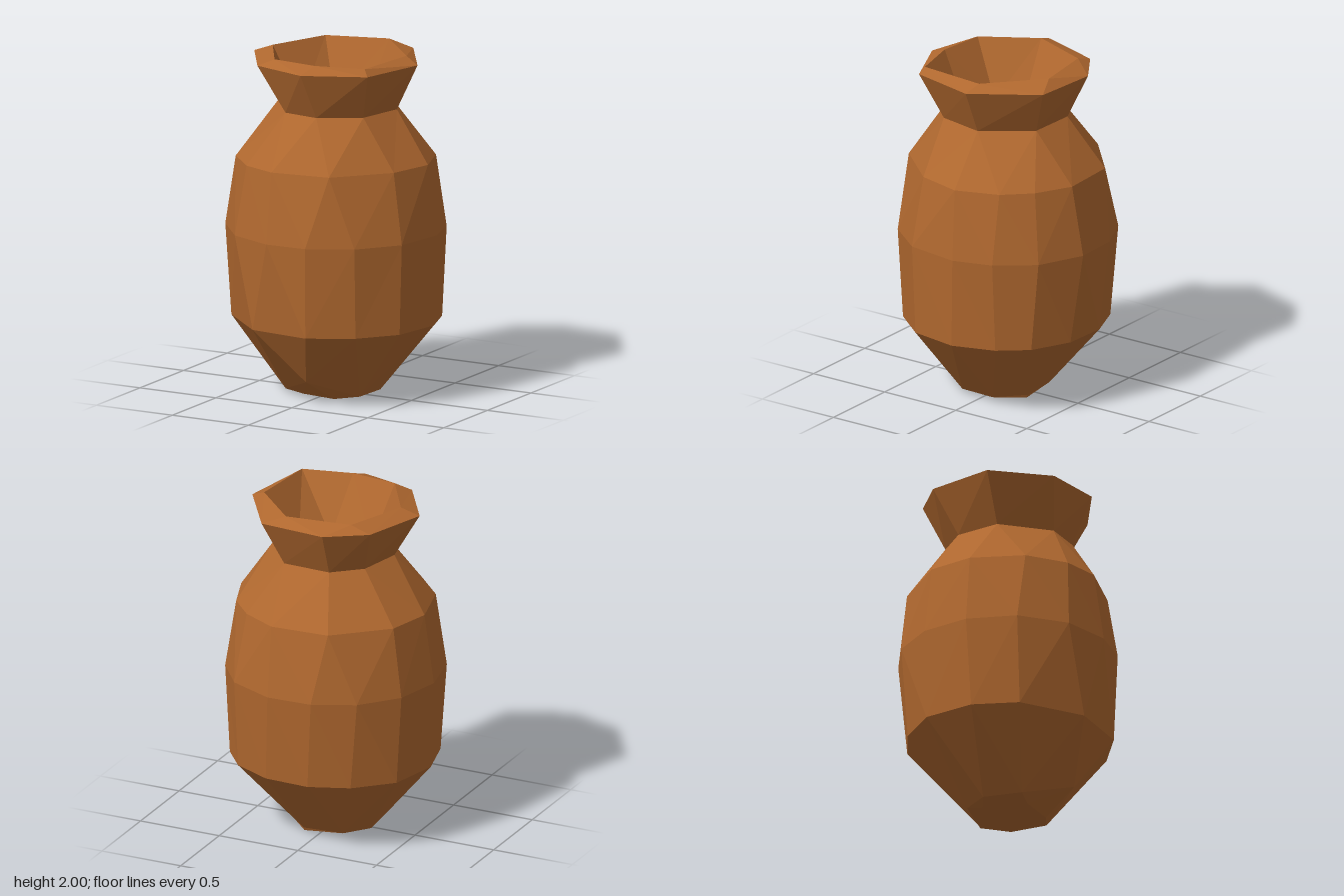
import * as THREE from 'three';

const TAU = Math.PI * 2;
const angle = (p) => Math.atan2(p[2], p[0]);
const wrap = (a) => ((a % TAU) + TAU) % TAU;

// Ring of [x, z] points (or [x, y, z] where the height varies), sorted around y
function ring(y, points) {
  return points
    .map((p) => (p.length === 3 ? p : [p[0], y, p[1]]))
    .sort((a, b) => wrap(angle(a)) - wrap(angle(b)));
}

function regularRing(y, r, n, phase) {
  return ring(y, Array.from({ length: n }, (_, i) => {
    const a = phase + (i / n) * TAU;
    return [r * Math.cos(a), r * Math.sin(a)];
  }));
}

// Triangle strip between two rings that may have different point counts
function stitch(out, a, b) {
  const a0 = angle(a[0]);
  const gap = (p) => Math.abs(wrap(angle(p) - a0 + Math.PI) - Math.PI);
  const start = b.reduce((best, p, k) => (gap(p) < gap(b[best]) ? k : best), 0);
  b = [...b.slice(start), ...b.slice(0, start)];
  const b0 = wrap(angle(b[0]) - a0 + Math.PI) - Math.PI;
  const turnA = (i) => (i >= a.length ? TAU : wrap(angle(a[i]) - a0));
  const turnB = (j) => b0 + (j >= b.length ? TAU : wrap(angle(b[j]) - angle(b[0])));
  let i = 0;
  let j = 0;
  while (i < a.length || j < b.length) {
    const p = a[i % a.length];
    const q = b[j % b.length];
    const midA = turnA(i) + turnA(i + 1);
    const midB = turnB(j) + turnB(j + 1);
    if (j >= b.length || (i < a.length && midA < midB)) {
      out.push(...p, ...q, ...a[++i % a.length]);
    } else {
      out.push(...p, ...q, ...b[++j % b.length]);
    }
  }
}

// Fan closing a ring; faces down, or up when flipped
function cap(out, r, y, flip) {
  r.forEach((p, i) => {
    const q = r[(i + 1) % r.length];
    out.push(0, y, 0, ...(flip ? q : p), ...(flip ? p : q));
  });
}

function skin(name, rings, material, close) {
  const pos = [];
  for (let k = 0; k + 1 < rings.length; k++) stitch(pos, rings[k], rings[k + 1]);
  close?.(pos);
  const geometry = new THREE.BufferGeometry();
  geometry.setAttribute('position', new THREE.Float32BufferAttribute(pos, 3));
  geometry.computeVertexNormals();
  const mesh = new THREE.Mesh(geometry, material);
  mesh.name = name;
  return mesh;
}

export function createModel() {
  const group = new THREE.Group();
  group.name = 'vase';
  const clay = new THREE.MeshStandardMaterial({ color: 0xb0682f, flatShading: true });

  // Outer body, from foot to neck
  const sole = ring(0, [[0.1, 0.19], [-0.12, 0.16], [-0.16, -0.1], [0.1, -0.21], [0.18, 0]]);
  const foot = ring(0.02, [
    [0.03, 0.13, 0.39], [-0.23, 0.17], [-0.25, -0.06], [-0.14, -0.2],
    [0.1, -0.22], [0.25, -0.08], [0.24, 0.14],
  ]);
  const lower = ring(0.44, [
    [0.61, -0.05], [0.56, 0.24], [0.39, 0.45], [0.14, 0.59], [-0.23, 0.55], [-0.53, 0.27], [-0.6, 0],
    [-0.53, -0.3], [-0.33, -0.49], [-0.1, -0.58], [0.17, -0.57], [0.4, -0.46], [0.53, -0.3],
  ]);
  const belly = ring(0.97, [
    [-0.14, -0.62], [0.13, -0.63], [0.4, -0.51], [0.56, -0.3], [0.63, -0.07], [0.58, 0.25], [0.4, 0.48],
    [0.15, 0.61], [-0.1, 0.62], [-0.37, 0.51], [-0.57, 0.27], [-0.63, -0.02], [-0.56, -0.3], [-0.38, -0.51],
  ]);
  const shoulder = ring(1.38, [
    [0.58, -0.05], [0.51, 0.22], [0.25, 0.51], [-0.1, 0.56], [-0.31, 0.48], [-0.49, 0.29],
    [-0.57, -0.02], [-0.5, -0.28], [-0.21, -0.54], [0.14, -0.56], [0.35, -0.45], [0.49, -0.3],
  ]);
  const neck = ring(1.68, [
    [0.08, 0.36], [-0.14, 0.33], [-0.34, 0.06], [-0.28, -0.2],
    [-0.12, -0.34], [0.17, -0.33], [0.37, -0.06], [0.31, 0.22],
  ]);
  group.add(skin('body', [sole, foot, lower, belly, shoulder, neck], clay, (pos) => cap(pos, sole, 0, false)));

  // Flared collar with a sloping lip and the throat inside it
  const lipOuter = ring(1.95, [
    [0.05, 0.49], [-0.29, 0.39], [-0.5, 0.06], [-0.37, -0.32],
    [-0.14, -0.47], [0.26, -0.44], [0.5, -0.07], [0.4, 0.33],
  ]);
  const lipInner = ring(1.99, [
    [0.13, 2, -0.39], [0.41, -0.1], [0.37, 0.31], [0.08, 0.38], [-0.2, 0.35], [-0.39, 0.04], [-0.25, -0.32],
  ]);
  const throat = ring(1.66, [
    [-0.21, 0.03], [-0.11, -0.18], [0.08, -0.21], [0.22, -0.04], [0.13, 0.19], [-0.13, 0.18],
  ]);
  group.add(skin('collar', [neck, lipOuter, lipInner, throat], clay));

  // Hollow inside, down to the floor
  const hollow = [regularRing(1.35, 0.42, 9, 0.2), regularRing(0.5, 0.44, 9, 0.3), regularRing(0.17, 0.2, 7, 0.1)];
  group.add(skin('hollow', [throat, ...hollow], clay, (pos) => cap(pos, hollow[2], 0.15, true)));

  return group;
}
